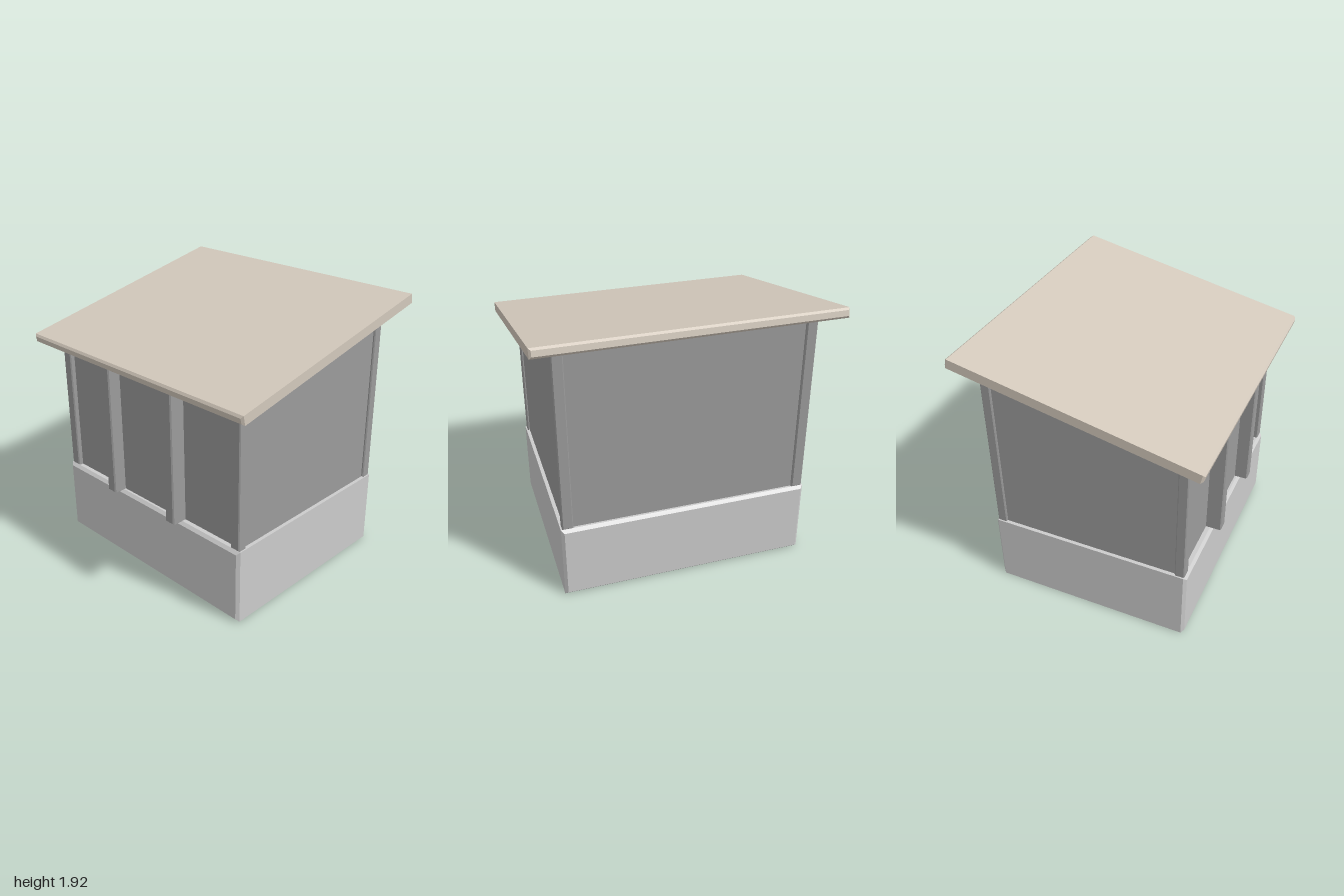
import * as THREE from 'three';

const stone = new THREE.MeshStandardMaterial({ color: 0xcccccc });
const wall = new THREE.MeshStandardMaterial({ color: 0x9b9b9b });
const roofing = new THREE.MeshStandardMaterial({ color: 0xd3c9bc });

// Box with chamfered edges, centred on its origin
function chamferBox(w, h, d, c) {
  const x = w / 2 - c, y = h / 2 - c;
  const shape = new THREE.Shape([
    new THREE.Vector2(-x, -y), new THREE.Vector2(x, -y),
    new THREE.Vector2(x, y), new THREE.Vector2(-x, y),
  ]);
  const geo = new THREE.ExtrudeGeometry(shape, {
    depth: d - 2 * c, bevelEnabled: true, bevelSize: c, bevelThickness: c, bevelSegments: 1,
  });
  return geo.translate(0, 0, -(d / 2 - c));
}

export function createModel() {
  const group = new THREE.Group();

  // Adds a chamfered box given by its limits on each axis
  const addBox = (name, material, [x0, x1], [y0, y1], [z0, z1], c) => {
    const mesh = new THREE.Mesh(chamferBox(x1 - x0, y1 - y0, z1 - z0, c), material);
    mesh.position.set((x0 + x1) / 2, (y0 + y1) / 2, (z0 + z1) / 2);
    mesh.name = name;
    group.add(mesh);
    return mesh;
  };

  // Plinth
  addBox('base', stone, [-0.87, 0.87], [0, 0.54], [-0.72, 0.72], 0.02);

  // Walls: side profile with a sloping top, extruded across the width
  const back = -0.685, front = 0.67;
  const topAt = (z) => 1.667 - 0.2126 * z;
  const profile = new THREE.Shape([
    new THREE.Vector2(-front, 0.53), new THREE.Vector2(-back, 0.53),
    new THREE.Vector2(-back, topAt(back)), new THREE.Vector2(-front, topAt(front)),
  ]);
  const wallGeo = new THREE.ExtrudeGeometry(profile, { depth: 1.69, bevelEnabled: false });
  wallGeo.translate(0, 0, -0.845).rotateY(Math.PI / 2);
  const walls = new THREE.Mesh(wallGeo, wall);
  walls.name = 'walls';
  group.add(walls);

  // Panel in the middle bay of the front
  addBox('frontPanel', wall, [-0.27, 0.27], [0.535, 1.49], [0.64, 0.685], 0.006);

  // Corner posts and the two front mullions
  for (const [side, s] of [['left', 1], ['right', -1]]) {
    const span = (a, b) => (s > 0 ? [a, b] : [-b, -a]);
    addBox(side + 'FrontPost', wall, span(0.785, 0.86), [0.54, 1.53], [0.635, 0.705], 0.007);
    addBox(side + 'BackPost', wall, span(0.785, 0.86), [0.54, 1.81], [-0.705, -0.635], 0.007);
    addBox(side + 'Mullion', wall, span(0.262, 0.342), [0.54, 1.515], [0.64, 0.78], 0.008);
  }

  // Overhanging roof slab, falling towards the front
  const roof = addBox('roof', roofing, [-1, 1], [1.677, 1.743], [-0.857, 0.857], 0.014);
  roof.rotation.x = THREE.MathUtils.degToRad(12);

  return group;
}
